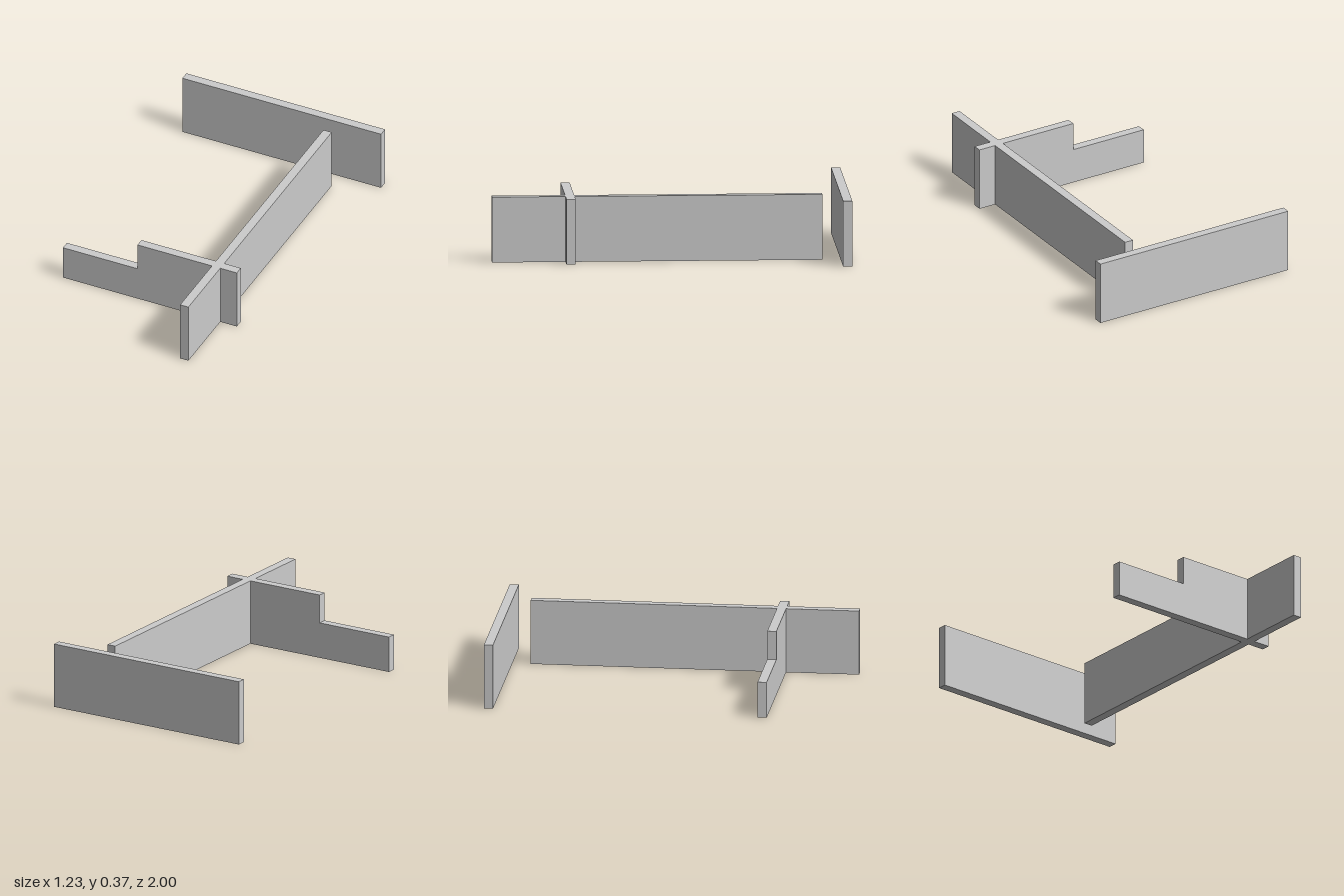
import * as THREE from 'three';

const U = 2 / 39;          // wall thickness, the module of the whole layout
const HEIGHT = 7.2 * U;
const LOW_HEIGHT = 4 * U;

const material = new THREE.MeshStandardMaterial({ color: 0xcccccc, flatShading: true });

// Upright wall from plan limits (in modules) and a height
function wall(name, x0, x1, z0, z1, height) {
  const geometry = new THREE.BoxGeometry((x1 - x0) * U, height, (z1 - z0) * U);
  const mesh = new THREE.Mesh(geometry, material);
  mesh.name = name;
  mesh.position.set(((x0 + x1) / 2) * U, height / 2, ((z0 + z1) / 2) * U);
  return mesh;
}

// Two full-height walls crossing, extruded upward from one plus-shaped plan
function crossingWalls() {
  const plan = [
    [6, 19.5], [7, 19.5], [7, 11.5], [9, 11.5], [9, 10.5], [7, 10.5],
    [7, -16.5], [6, -16.5], [6, 10.5], [-3, 10.5], [-3, 11.5], [6, 11.5],
  ];
  const shape = new THREE.Shape(plan.map(([x, z]) => new THREE.Vector2(x * U, -z * U)));
  const geometry = new THREE.ExtrudeGeometry(shape, { depth: HEIGHT, bevelEnabled: false });
  geometry.rotateX(-Math.PI / 2);
  const mesh = new THREE.Mesh(geometry, material);
  mesh.name = 'crossingWalls';
  return mesh;
}

export function createModel() {
  const group = new THREE.Group();
  group.name = 'wallLayout';
  group.add(
    crossingWalls(),
    // Lower end of the cross wall, stepped down
    wall('lowWall', -12, -3, 10.5, 11.5, LOW_HEIGHT),
    // Free-standing wall at the back
    wall('backWall', -12, 12, -19.5, -18.5, HEIGHT),
  );
  return group;
}
